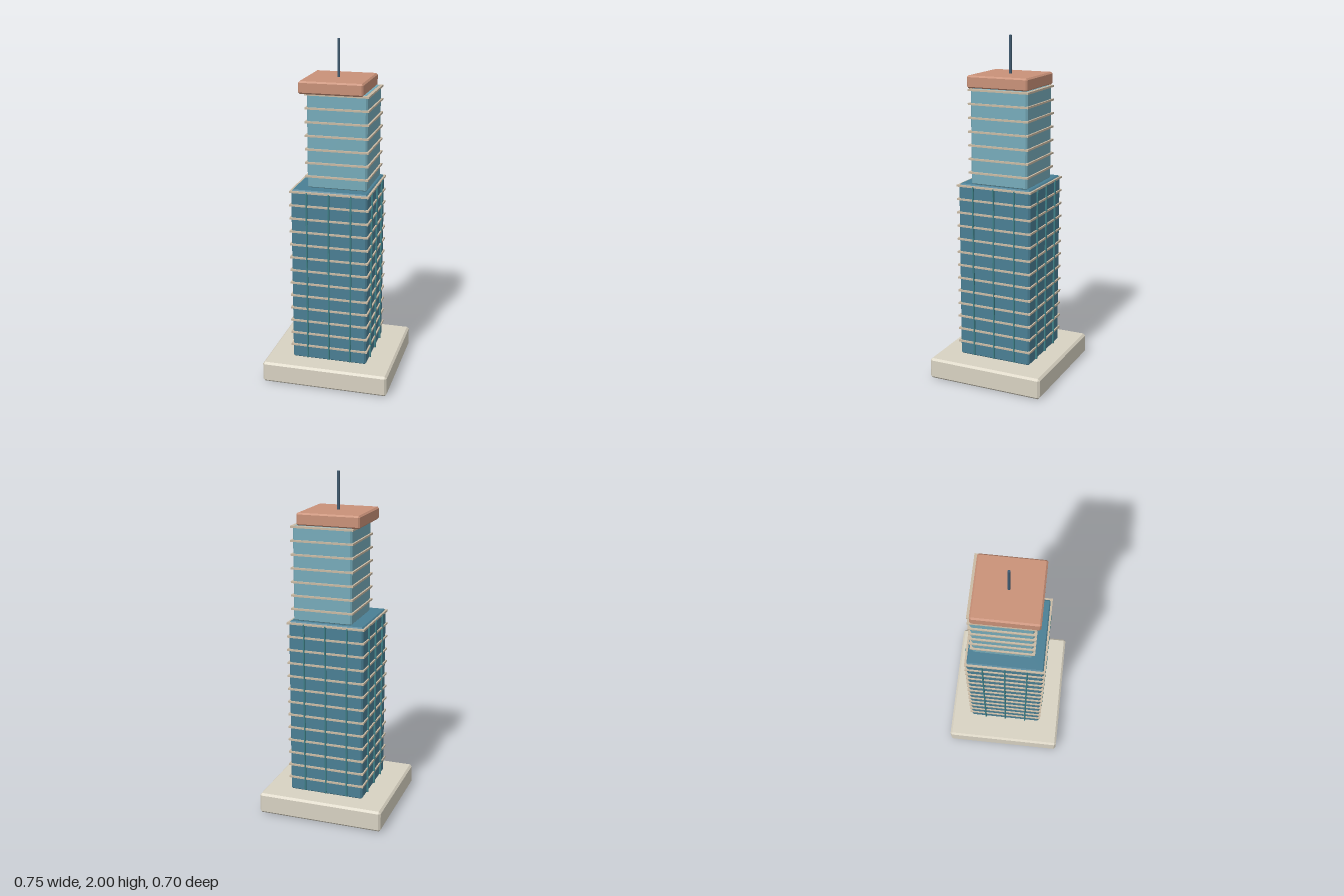
import * as THREE from 'three';
import { ConvexGeometry } from 'three/addons/geometries/ConvexGeometry.js';

const paint = (color) => new THREE.MeshStandardMaterial({ color });
const stone = paint(0xd8d2c2);
const darkGlass = paint(0x4a7f94);
const lightGlass = paint(0x76abba);
const slabTan = paint(0xc9baa4);
const mullionTeal = paint(0x3f8088);
const terracotta = paint(0xc99178);
const steel = paint(0x3f5a70);

// Box with every edge cut by a flat chamfer c
function chamferBox(w, h, d, c) {
  const half = [w / 2, h / 2, d / 2];
  const points = [];
  for (const sx of [-1, 1]) for (const sy of [-1, 1]) for (const sz of [-1, 1]) {
    const signs = [sx, sy, sz];
    for (let face = 0; face < 3; face++) {
      points.push(new THREE.Vector3(...half.map((v, k) => signs[k] * (k === face ? v : v - c))));
    }
  }
  return new ConvexGeometry(points);
}

function addMesh(parent, name, geometry, material, x, y, z) {
  const mesh = new THREE.Mesh(geometry, material);
  mesh.name = name;
  mesh.position.set(x, y, z);
  parent.add(mesh);
  return mesh;
}

// Glass shaft ringed by evenly spaced floor slabs
function addTower(parent, name, { x, z, width, y0, y1, glass, slabWidth, firstSlab, pitch, floors }) {
  const tower = new THREE.Group();
  tower.name = name;
  tower.position.set(x, 0, z);
  parent.add(tower);
  addMesh(tower, 'glassShaft', chamferBox(width, y1 - y0, width, 0.01), glass, 0, (y0 + y1) / 2, 0);
  const slab = new THREE.BoxGeometry(slabWidth, 0.011, slabWidth);
  for (let i = 0; i < floors; i++) {
    addMesh(tower, 'floorSlab', slab, slabTan, 0, firstSlab + i * pitch, 0);
  }
  return tower;
}

export function createModel() {
  const model = new THREE.Group();
  model.name = 'skyscraper';

  // Plinth
  addMesh(model, 'plinth', chamferBox(0.75, 0.125, 0.705, 0.012), stone, 0, 0.0625, 0);

  // Lower tower
  const lower = addTower(model, 'lowerTower', {
    x: 0, z: 0, width: 0.446, y0: 0.12, y1: 1.17, glass: darkGlass,
    slabWidth: 0.462, firstSlab: 0.205, pitch: 0.0794, floors: 13,
  });

  // Three vertical mullions on each side of the lower tower
  const mullion = chamferBox(0.009, 1.03, 0.012, 0.002);
  for (let side = 0; side < 4; side++) {
    const facade = new THREE.Group();
    facade.name = 'facadeMullions';
    facade.rotation.y = side * Math.PI / 2;
    for (const x of [-0.129, 0, 0.129]) addMesh(facade, 'mullion', mullion, mullionTeal, x, 0.645, 0.228);
    lower.add(facade);
  }

  // Upper tower, set off centre
  addTower(model, 'upperTower', {
    x: 0.029, z: -0.021, width: 0.348, y0: 1.165, y1: 1.714, glass: lightGlass,
    slabWidth: 0.368, firstSlab: 1.237, pitch: 0.0784, floors: 7,
  });

  // Roof cap and mast
  addMesh(model, 'roofCap', chamferBox(0.37, 0.072, 0.37, 0.009), terracotta, 0, 1.748, 0);
  addMesh(model, 'mast', new THREE.CylinderGeometry(0.008, 0.008, 0.23, 16), steel, 0, 1.885, 0);

  return model;
}
